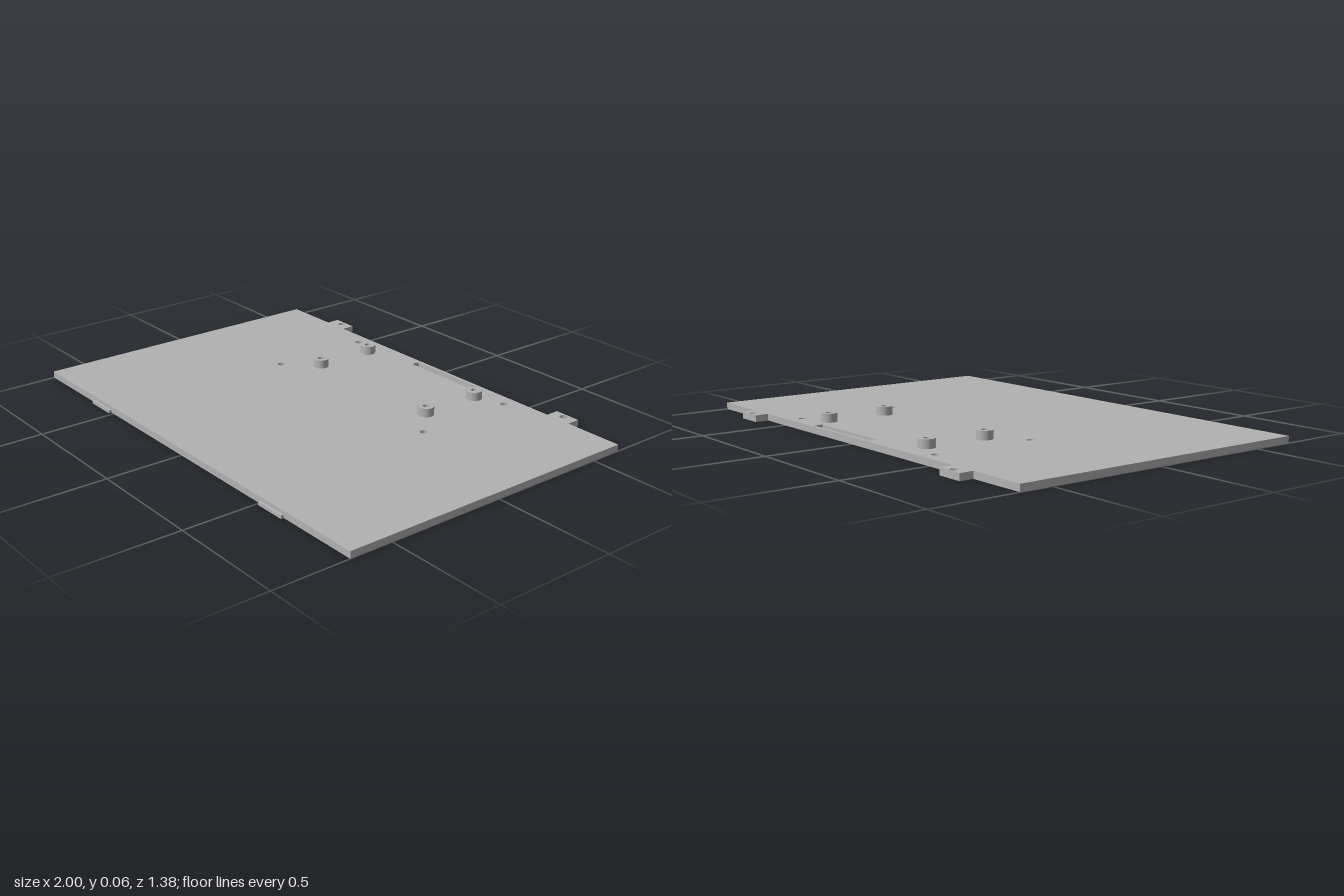
import * as THREE from 'three';
import { toCreasedNormals } from 'three/addons/utils/BufferGeometryUtils.js';

const THICK = 0.028, BACK = -0.635, FRONT = 0.68, EAR_BACK = -0.692;

// Outlines are drawn in (x, z) and stand upright after extrusion.
const outline = (pts) => new THREE.Shape(pts.map(([x, z]) => new THREE.Vector2(x, -z)));
const hole = (x, z, r) => new THREE.Path().absarc(x, -z, r, 0, Math.PI * 2, true);

function extrudeUp(shape, height) {
  const geo = new THREE.ExtrudeGeometry(shape, { depth: height, bevelEnabled: false, curveSegments: 16 });
  geo.rotateX(-Math.PI / 2);
  return toCreasedNormals(geo, 0.6);
}

export function createModel() {
  const model = new THREE.Group();
  const grey = new THREE.MeshStandardMaterial({ color: 0xb2b2b2 });
  grey.name = 'grey';
  const add = (name, geo, x = 0, y = 0, z = 0) => {
    const mesh = new THREE.Mesh(geo, grey);
    mesh.name = name;
    mesh.position.set(x, y, z);
    model.add(mesh);
  };

  // Base plate with two screw ears along the back edge
  const plate = outline([
    [-1, FRONT], [1, FRONT], [1, BACK],
    [0.75, BACK], [0.75, EAR_BACK], [0.638, EAR_BACK], [0.638, BACK],
    [-0.643, BACK], [-0.643, EAR_BACK], [-0.755, EAR_BACK], [-0.755, BACK],
    [-1, BACK],
  ]);

  // Ear screw holes, mounting holes and cable slot
  for (const x of [-0.698, 0.693]) plate.holes.push(hole(x, -0.671, 0.016));
  for (const x of [-0.461, 0.456])
    for (const z of [-0.578, -0.139]) plate.holes.push(hole(x, z, 0.016));
  plate.holes.push(outline([[-0.106, -0.585], [-0.106, -0.622], [0.29, -0.622], [0.29, -0.585]]));
  add('basePlate', extrudeUp(plate, THICK));

  // Hollow standoffs
  const ring = new THREE.Shape().absarc(0, 0, 0.033, 0, Math.PI * 2, false);
  ring.holes.push(hole(0, 0, 0.014));
  const standoff = extrudeUp(ring, 0.036);
  for (const x of [-0.338, 0.333])
    for (const z of [-0.527, -0.261]) add('standoff', standoff, x, THICK, z);

  // Thin locating tabs on the front edge
  const tab = new THREE.BoxGeometry(0.133, 0.013, 0.012);
  for (const x of [-0.581, 0.576]) add('frontTab', tab, x, 0.0065, FRONT + 0.006);

  return model;
}
